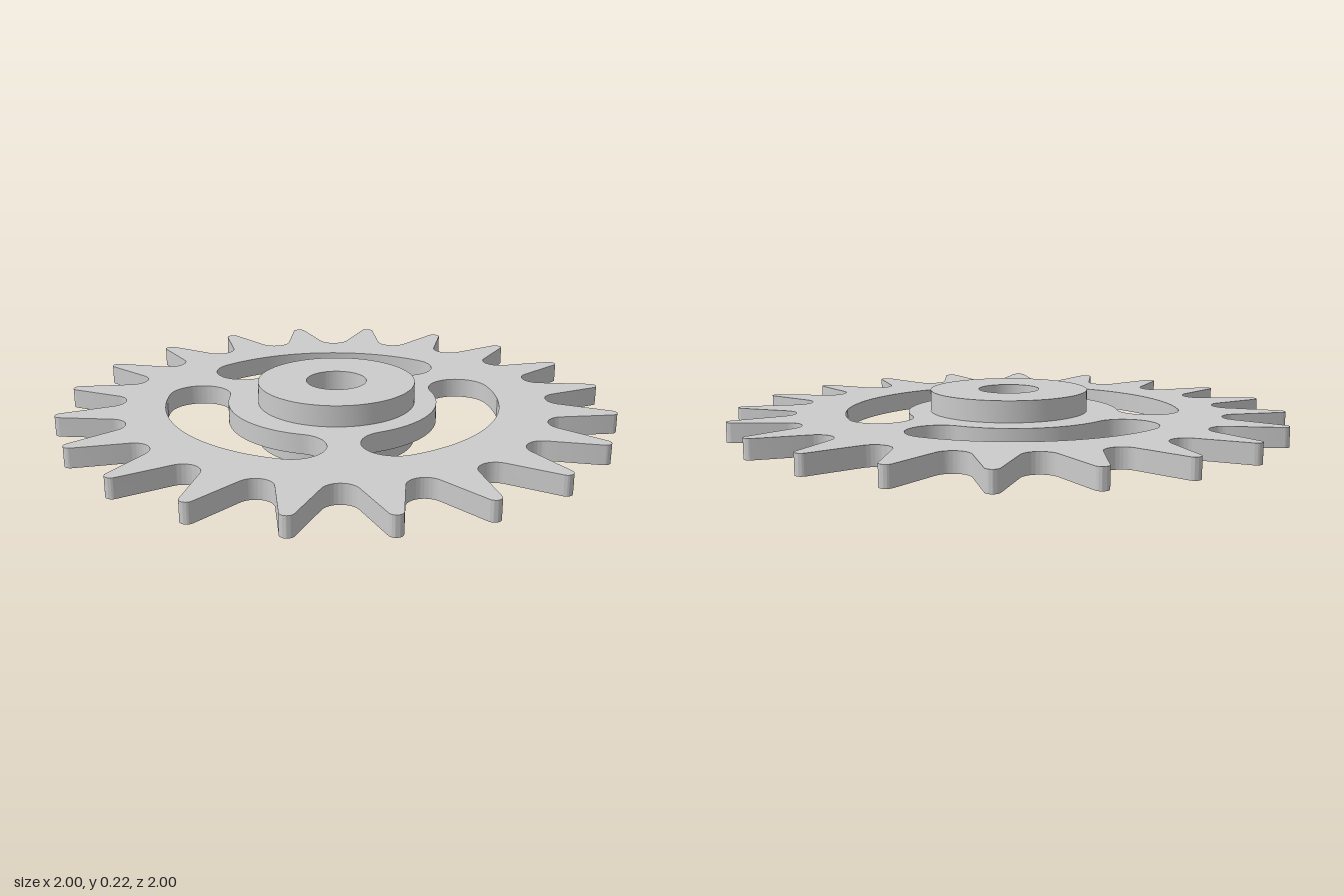
import * as THREE from 'three';
import { toCreasedNormals } from 'three/addons/utils/BufferGeometryUtils.js';

const rad = THREE.MathUtils.degToRad;
const TEETH = 20, PITCH = 360 / TEETH;
const HUB_R = 0.287, BORE_R = 0.11, HUB_H = 0.225;
const PLATE_Y = 0.077, PLATE_H = 0.071;

// Toothed outline: round valleys and small round tips joined by straight flanks
function toothedOutline() {
  const shape = new THREE.Shape();
  const lean = 23.3; // flank angle from the valley axis
  const arc = (axis, dist, r, from, to, clockwise) => shape.absarc(
    dist * Math.cos(rad(axis)), dist * Math.sin(rad(axis)), r, rad(from), rad(to), clockwise);
  for (let i = 0; i < TEETH; i++) {
    const turn = -i * PITCH;
    arc(90 + turn, 0.835, 0.062, turn - 180 + lean, turn - lean, false);
    arc(90 + turn - PITCH / 2, 0.988, 0.024, turn + 180 - lean, turn + lean - PITCH, true);
  }
  shape.closePath();
  return shape;
}

// Curved slot with round ends, around a centre slightly off the axle
function curvedSlot(startDeg, endDeg) {
  const cx = -0.018, mid = 0.4965, half = 0.1135;
  const a = rad(startDeg), b = rad(endDeg);
  const slot = new THREE.Path();
  slot.absarc(cx, 0, mid + half, a, b, false);
  slot.absarc(cx + mid * Math.cos(b), mid * Math.sin(b), half, b, b + Math.PI, false);
  slot.absarc(cx, 0, mid - half, b, a, true);
  slot.absarc(cx + mid * Math.cos(a), mid * Math.sin(a), half, a + Math.PI, a + 2 * Math.PI, false);
  return slot;
}

function circle(PathType, r) {
  const path = new PathType();
  path.absarc(0, 0, r, 0, 2 * Math.PI, false);
  return path;
}

// Extrude a flat shape upward from height y
function slab(name, shape, y, height, curveSegments, material) {
  const geometry = new THREE.ExtrudeGeometry(shape, { depth: height, bevelEnabled: false, curveSegments });
  geometry.rotateX(-Math.PI / 2);
  geometry.translate(0, y, 0);
  const mesh = new THREE.Mesh(toCreasedNormals(geometry, rad(35)), material);
  mesh.name = name;
  return mesh;
}

export function createModel() {
  const group = new THREE.Group();
  group.name = 'sprocket';
  const material = new THREE.MeshStandardMaterial({ color: 0xcccccc });

  // Toothed plate with three slots, open where the hub passes through
  const plate = toothedOutline();
  for (const start of [-30, 90, 210]) plate.holes.push(curvedSlot(start, start + 80));
  plate.holes.push(circle(THREE.Path, HUB_R));
  group.add(slab('toothedPlate', plate, PLATE_Y, PLATE_H, 24, material));

  // Hub with axle bore, standing proud on both sides
  const hub = circle(THREE.Shape, HUB_R);
  hub.holes.push(circle(THREE.Path, BORE_R));
  group.add(slab('hub', hub, 0, HUB_H, 64, material));

  return group;
}
